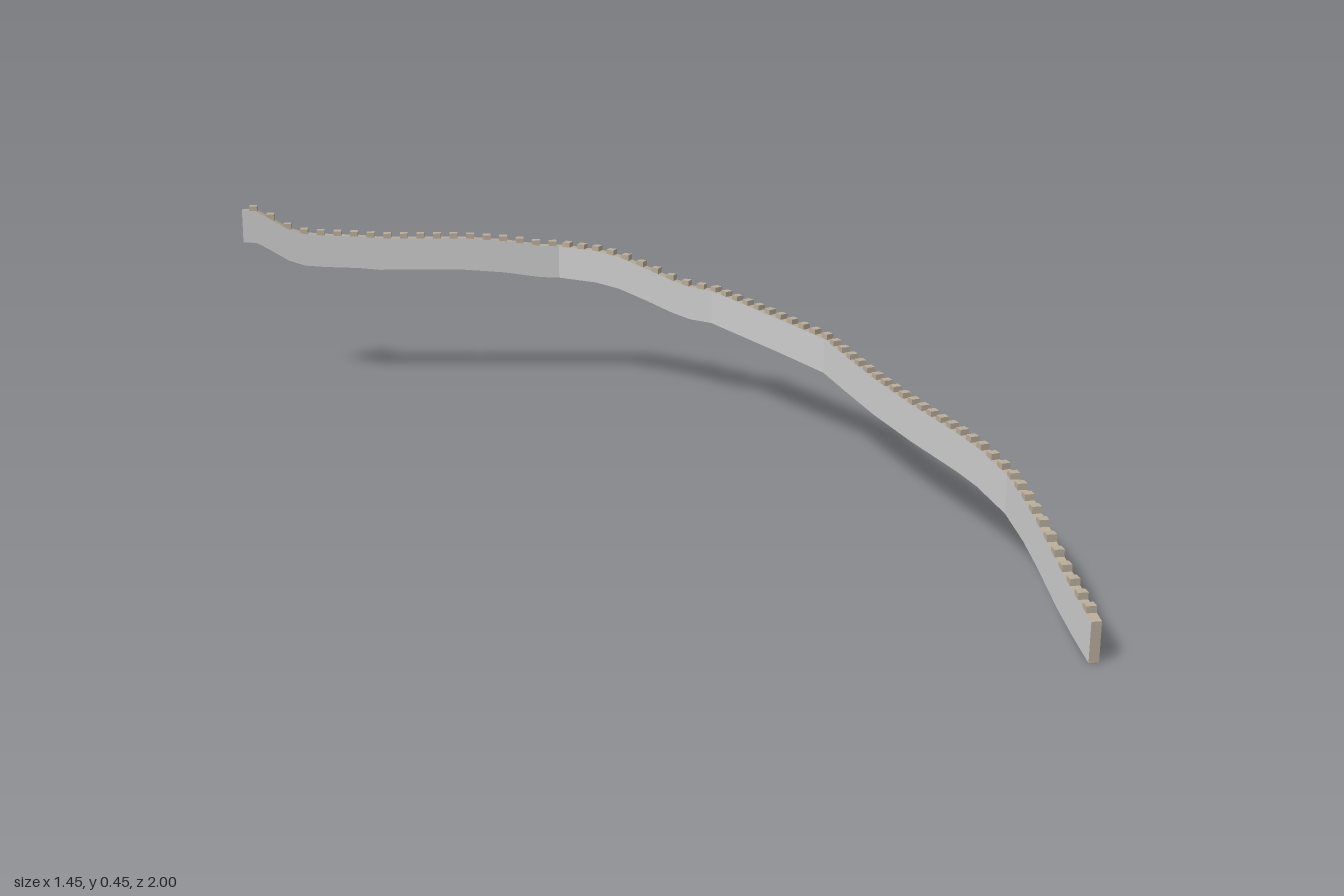
import * as THREE from 'three';
import { mergeGeometries } from 'three/addons/utils/BufferGeometryUtils.js';

const HALF = 0.01;      // half the wall thickness
const HEIGHT = 0.08;    // wall body height
// plan corners of the wall's centre line (x, z)
const corners = [[-0.723, -0.99], [-0.445, -0.947], [0.05, -0.88], [0.385, -0.622],
  [0.563, -0.243], [0.715, 0.547], [0.715, 1]].map(([x, z]) => new THREE.Vector2(x, z));
// underside height along the wall: [corner index + fraction, y]
const rise = [[0, 0.36], [0.12, 0.358], [0.25, 0.337], [0.39, 0.313], [0.53, 0.3], [0.71, 0.296],
  [1, 0.293], [1.1, 0.288], [1.52, 0.286], [1.72, 0.278], [1.9, 0.265], [2, 0.263], [2.25, 0.263],
  [2.4, 0.255], [2.57, 0.235], [2.75, 0.212], [2.86, 0.202], [3, 0.2], [3.6, 0.188], [4, 0.178],
  [4.14, 0.166], [4.31, 0.153], [4.52, 0.145], [4.76, 0.142], [4.86, 0.137], [5, 0.118],
  [5.23, 0.1], [5.4, 0.078], [5.64, 0.04], [5.82, 0.018], [6, 0]];

const direction = (i) => corners[i + 1].clone().sub(corners[i]).normalize();
const planPoint = (u) => {
  const i = Math.min(Math.floor(u), 5);
  return corners[i].clone().lerp(corners[i + 1], u - i);
};
function baseHeight(u) {
  const k = Math.max(1, rise.findIndex(([v]) => v >= u));
  const [u0, y0] = rise[k - 1], [u1, y1] = rise[k];
  return THREE.MathUtils.lerp(y0, y1, (u - u0) / (u1 - u0));
}

// sideways offset, mitred at the plan corners
function sideOffset(u) {
  const i = Math.min(Math.floor(u), 5);
  const d = direction(i);
  const n = new THREE.Vector2(-d.y, d.x);
  if (u === i && i > 0) {
    const e = direction(i - 1);
    const m = new THREE.Vector2(-e.y, e.x).add(n).normalize();
    return m.multiplyScalar(HALF / m.dot(n));
  }
  return n.multiplyScalar(HALF);
}

// four corners of the wall section: right bottom, right top, left top, left bottom
function section(u) {
  const p = planPoint(u), o = sideOffset(u), y = baseHeight(u);
  return [[1, 0], [1, HEIGHT], [-1, HEIGHT], [-1, 0]].map(([s, h]) =>
    [p.x + s * o.x, y + h, p.y + s * o.y]);
}

function quadsToGeometry(quads) {
  const geometry = new THREE.BufferGeometry();
  const points = quads.flatMap(([a, b, c, d]) => [a, b, c, a, c, d]).flat();
  geometry.setAttribute('position', new THREE.Float32BufferAttribute(points, 3));
  geometry.computeVertexNormals();
  return geometry;
}

export function createModel() {
  const group = new THREE.Group();
  group.name = 'battlementWall';
  const grey = new THREE.MeshStandardMaterial({ color: 0xcccccc });
  const stone = new THREE.MeshStandardMaterial({ color: 0xb8ad9a });
  const add = (name, geometry, material) => {
    const mesh = new THREE.Mesh(geometry, material);
    mesh.name = name;
    group.add(mesh);
  };

  // wall body swept along the plan
  const sections = rise.map(([u]) => section(u));
  const faces = [], trim = [];
  for (let i = 0; i < sections.length - 1; i++) {
    const a = sections[i], b = sections[i + 1];
    for (let k = 0; k < 4; k++) {
      const n = (k + 1) % 4;
      (k % 2 ? trim : faces).push([a[k], b[k], b[n], a[n]]);
    }
  }
  trim.push(sections[0], [...sections[sections.length - 1]].reverse());
  add('wallFaces', quadsToGeometry(faces), grey);
  add('wallWalkAndEnds', quadsToGeometry(trim), stone);

  // evenly spaced level merlons along the top
  const lengths = corners.slice(1).map((c, i) => c.distanceTo(corners[i]));
  const total = lengths.reduce((a, b) => a + b, 0);
  const count = 70, start = 0.027, end = total - 0.035;
  const merlons = [];
  for (let k = 0; k < count; k++) {
    let s = THREE.MathUtils.lerp(start, end, k / (count - 1)), i = 0;
    while (i < 5 && s > lengths[i]) s -= lengths[i++];
    const u = i + s / lengths[i], p = planPoint(u), d = direction(i);
    const box = new THREE.BoxGeometry(0.019, 0.018, HALF * 2 - 0.0004);
    box.rotateY(-Math.atan2(d.y, d.x));
    box.translate(p.x, baseHeight(u) + HEIGHT + 0.0025, p.y);
    merlons.push(box);
  }
  add('merlons', mergeGeometries(merlons), stone);
  return group;
}
